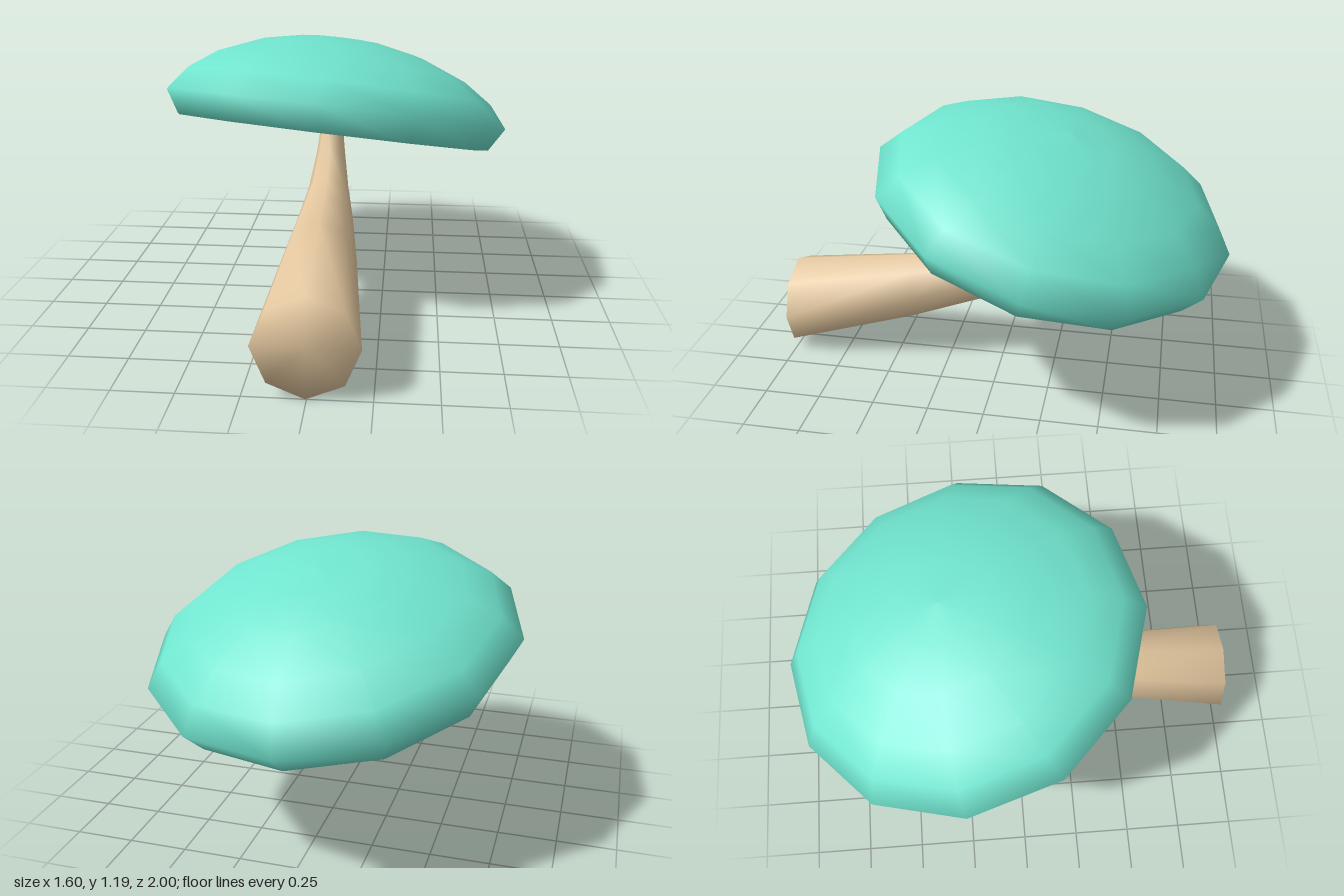
import * as THREE from 'three';

const SIDES = 8;

// Bent, tapering stem lofted through tilted octagonal rings.
function stemGeometry() {
  // z, y, half width, half depth, backward lean of the ring
  const rings = [
    [1, 0.21, 0.21, 0.21, 0],
    [0.42, 0.335, 0.155, 0.155, 0.05],
    [0.135, 0.415, 0.12, 0.128, 0.53],
    [-0.02, 0.502, 0.09, 0.1, 0.91],
    [-0.15, 0.642, 0.064, 0.08, 1.27],
    [-0.235, 0.86, 0.038, 0.042, 1.4],
    [-0.27, 1.08, 0.03, 0.03, 1.4],
  ];
  const positions = [];
  const index = [];
  rings.forEach(([z, y, width, depth, lean], i) => {
    for (let k = 0; k < SIDES; k++) {
      const t = (k / SIDES) * Math.PI * 2;
      const up = depth * Math.cos(t);
      positions.push(-0.005 + width * Math.sin(t), y + up * Math.cos(lean), z + up * Math.sin(lean));
      if (i === rings.length - 1) continue;
      const a = i * SIDES + k;
      const b = i * SIDES + ((k + 1) % SIDES);
      index.push(a, b, a + SIDES, b, b + SIDES, a + SIDES);
    }
  });
  // Flat closing face at the foot, sharing the softened edge
  const centre = positions.length / 3;
  positions.push(-0.005, rings[0][1], rings[0][0]);
  for (let k = 0; k < SIDES; k++) index.push(centre, (k + 1) % SIDES, k);

  const geometry = new THREE.BufferGeometry();
  geometry.setAttribute('position', new THREE.Float32BufferAttribute(positions, 3));
  geometry.setIndex(index);
  geometry.computeVertexNormals();
  return geometry;
}

// Hollow cap: from the inturned lip, round the rim and over the top.
function capGeometry() {
  const profile = [
    [0.63, -0.08], [0.738, -0.108], [0.805, 0], [0.723, 0.104],
    [0.593, 0.194], [0.385, 0.279], [0.2, 0.319], [0, 0.332],
  ].map(([r, h]) => new THREE.Vector2(r, h));
  return new THREE.LatheGeometry(profile, 12);
}

export function createModel() {
  const model = new THREE.Group();
  model.name = 'mushroom';

  const stem = new THREE.Mesh(stemGeometry(), new THREE.MeshStandardMaterial({ color: 0xe2c69e }));
  stem.name = 'stem';

  const cap = new THREE.Mesh(
    capGeometry(),
    new THREE.MeshStandardMaterial({ color: 0x70e4ce, side: THREE.DoubleSide }),
  );
  cap.name = 'cap';
  cap.position.set(0, 0.82, -0.225);
  cap.rotation.set(-0.25, 0, -0.1);

  model.add(stem, cap);
  return model;
}
